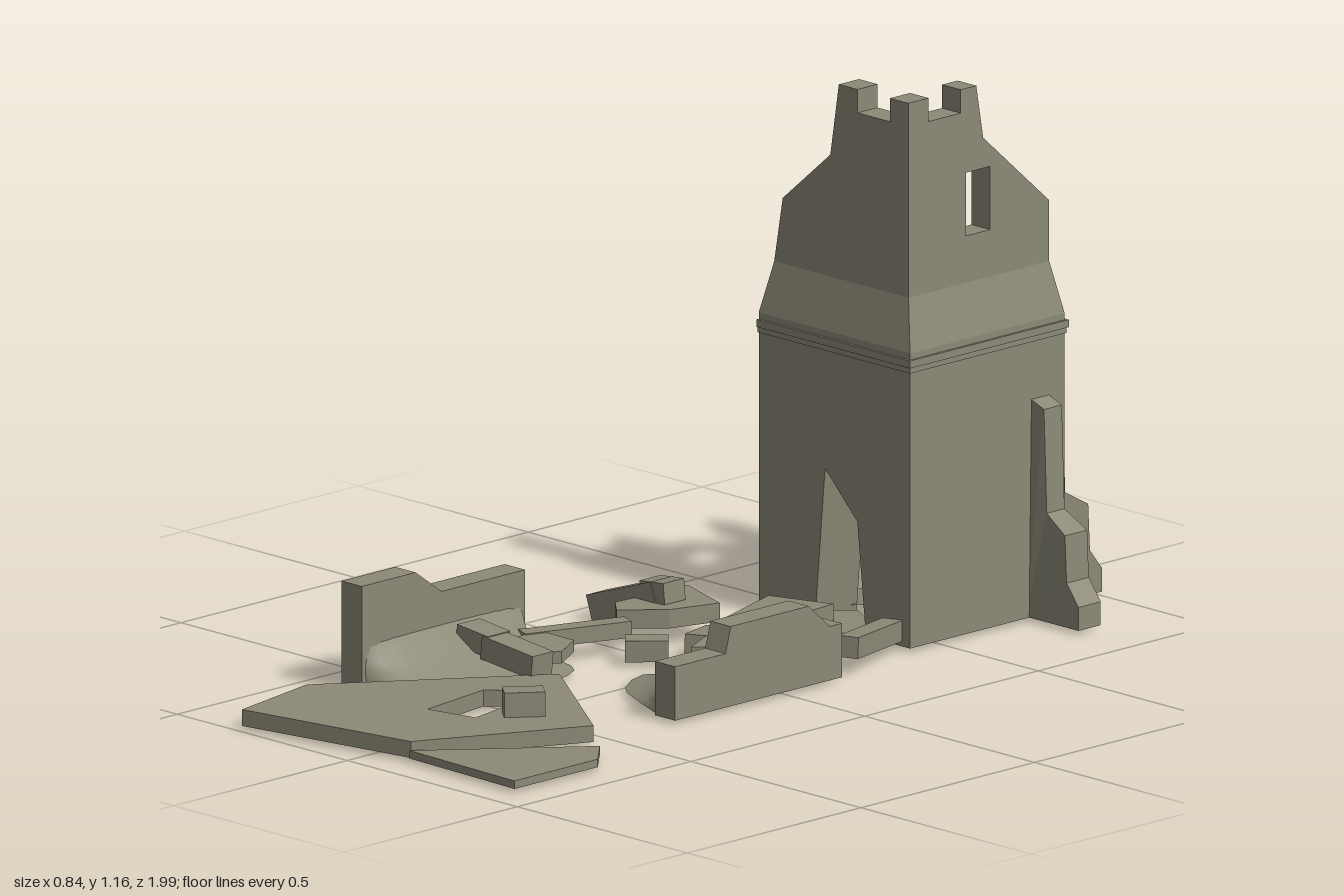
import * as THREE from 'three';

const stone = new THREE.MeshStandardMaterial({ color: 0x8c8977, side: THREE.DoubleSide });
stone.name = 'weathered stone';

export function createModel() {
  const root = new THREE.Group();
  root.name = 'ruinedTower';

  const add = (name, geo) => {
    const m = new THREE.Mesh(geo, stone);
    m.name = name;
    root.add(m);
    return m;
  };

  // Prism along an axis: 'z' takes [x,y] points, 'x' takes [z,y], 'y' takes [x,z]
  function prism(axis, pts, from, to, hole) {
    const flat = (list) => list.map(([a, b]) =>
      axis === 'x' ? new THREE.Vector2(-a, b) : new THREE.Vector2(a, axis === 'y' ? -b : b));
    const shape = new THREE.Shape(flat(pts));
    if (hole) shape.holes.push(new THREE.Path(flat(hole)));
    const g = new THREE.ExtrudeGeometry(shape, { depth: to - from, bevelEnabled: false });
    g.translate(0, 0, from);
    if (axis === 'x') g.rotateY(Math.PI / 2);
    if (axis === 'y') g.rotateX(-Math.PI / 2);
    return g;
  }

  // Move the vertices of a geometry by a rule
  function bend(g, rule) {
    const p = g.attributes.position;
    const v = new THREE.Vector3();
    for (let i = 0; i < p.count; i++) {
      rule(v.fromBufferAttribute(p, i));
      p.setXYZ(i, v.x, v.y, v.z);
    }
    g.computeVertexNormals();
    return g;
  }

  // Block between a bottom and a top rectangle [x0,x1,z0,z1], with its own top height at each x end
  function taper(b, t, y0, yLeft, yRight = yLeft) {
    return bend(new THREE.BoxGeometry(1, 1, 1).toNonIndexed(), (v) => {
      const r = v.y > 0 ? t : b;
      const y = v.y > 0 ? (v.x > 0 ? yRight : yLeft) : y0;
      v.set(v.x > 0 ? r[1] : r[0], y, v.z > 0 ? r[3] : r[2]);
    });
  }

  // Broken end of a wall runs inwards at its inner face
  const breakEnd = (g, zSplit, sign, amount) =>
    bend(g, (v) => { if (v.x < -0.15 && (v.z - zSplit) * sign < 0) v.x += amount; });

  // Lower storey: the -x wall has fallen
  add('frontWall', breakEnd(prism('z', [[-0.23, 0], [-0.065, 0], [-0.035, 0.335], [0.06, 0.24],
    [0.085, 0], [0.215, 0], [0.215, 0.63], [-0.23, 0.63]], -0.53, -0.41), -0.47, 1, 0.045));
  add('backWall', breakEnd(prism('z', [[-0.23, 0], [0.215, 0], [0.215, 0.63], [-0.23, 0.63]],
    -0.855, -0.775, [[-0.04, 0.41], [-0.04, 0.55], [0.035, 0.55], [0.035, 0.41]]), -0.815, -1, 0.04));
  add('sideWall', prism('x', [[-0.855, 0], [-0.41, 0], [-0.41, 0.63], [-0.855, 0.63]], 0.105, 0.215));

  // String course: two thin mouldings
  for (const [y, h, o] of [[0.588, 0.012, 0.003], [0.6, 0.016, 0.006]]) {
    const rim = (x0, x1, z0, z1) => add('stringCourse', taper([x0, x1, z0, z1], [x0, x1, z0, z1], y, y + h));
    rim(-0.23, 0.215 + o, -0.43, -0.41 + o);
    rim(-0.23, 0.215 + o, -0.855 - o, -0.835);
    rim(0.195, 0.215 + o, -0.855, -0.41);
  }

  // Sloping band where the walls step in
  add('frontBand', breakEnd(taper([-0.23, 0.215, -0.49, -0.41], [-0.205, 0.19, -0.49, -0.43], 0.63, 0.74), -0.46, 1, 0.03));
  add('sideBand', taper([0.135, 0.215, -0.855, -0.41], [0.135, 0.19, -0.835, -0.43], 0.63, 0.74));
  add('backBand', taper([-0.112, 0.215, -0.855, -0.8], [-0.112, 0.19, -0.835, -0.8], 0.63, 0.74));
  add('backBandEnd', breakEnd(taper([-0.23, -0.112, -0.855, -0.8], [-0.215, -0.112, -0.838, -0.8],
    0.63, 0.695, 0.74), -0.82, -1, 0.03));

  // Upper storey with crenellations and broken tops
  add('frontUpperWall', breakEnd(prism('z', [[-0.205, 0.74], [0.19, 0.74], [0.19, 1.155], [0.135, 1.155],
    [0.135, 1.105], [0.04, 1.105], [0.04, 1.155], [-0.015, 1.155], [-0.04, 1], [-0.18, 0.88]],
    -0.488, -0.43), -0.46, 1, 0.02));
  add('sideUpperWall', prism('x', [[-0.43, 0.74], [-0.43, 1.155], [-0.485, 1.155], [-0.485, 1.105],
    [-0.58, 1.105], [-0.58, 1.155], [-0.625, 1.155], [-0.645, 1.04], [-0.835, 0.87], [-0.835, 0.74]],
    0.135, 0.19, [[-0.595, 0.84], [-0.595, 0.975], [-0.665, 0.975], [-0.665, 0.84]]));
  add('backUpperWall', prism('z', [[-0.112, 0.74], [0.19, 0.74], [0.19, 0.87]], -0.835, -0.8));

  // Stepped buttresses, outward distance against height
  const step = [[-0.01, 0], [0.145, 0], [0.145, 0.05], [0.11, 0.095], [0.105, 0.195], [0.045, 0.23],
    [0.037, 0.45], [-0.01, 0.468]];
  const buttress = (name, along) => {
    const g = prism('z', step, -0.032, 0.032);
    bend(g, (v) => { if (v.y > 0.21) v.z *= 0.8; });
    return add(name, g);
  };
  buttress('sideButtress').position.set(0.215, 0, -0.785);
  for (const x of [-0.165, 0.145]) {
    const b = buttress('backButtress');
    b.rotation.y = Math.PI / 2;
    b.position.set(x, 0, -0.855);
  }

  // Smooth earth bank falling from a straight ridge to an outline of [x,z] points
  function bank(name, [ax, az], [bx, bz], height, outline) {
    const n = 12, rows = 6, pos = [], idx = [];
    const edge = new THREE.CatmullRomCurve3(outline.map(([x, z]) => new THREE.Vector3(x, 0, z)));
    for (let i = 0; i <= n; i++) {
      const e = edge.getPoint(i / n);
      const rx = ax + (bx - ax) * i / n, rz = az + (bz - az) * i / n;
      for (let j = 0; j <= rows; j++) {
        const s = j / rows;
        pos.push(rx + (e.x - rx) * s, 0.002 + height * Math.pow(1 - s, 1.4), rz + (e.z - rz) * s);
        if (i < n && j < rows) {
          const k = i * (rows + 1) + j, m = k + rows + 1;
          idx.push(k, k + 1, m, m, k + 1, m + 1);
        }
      }
    }
    // Keep the upper side as the front
    if ((bx - ax) * (outline[1][1] - az) - (bz - az) * (outline[1][0] - ax) > 0) idx.reverse();
    const g = new THREE.BufferGeometry();
    g.setAttribute('position', new THREE.Float32BufferAttribute(pos, 3));
    g.setIndex(idx);
    g.computeVertexNormals();
    add(name, g);
  }
  bank('towerFloor', [0.12, -0.8], [0.12, -0.5], 0.06, [[-0.185, -0.8], [-0.185, -0.65], [-0.185, -0.52]]);
  bank('rightBank', [0.22, -0.12], [0.22, 0.32], 0.1,
    [[0.2, -0.11], [0.05, 0.07], [-0.02, 0.12], [0.03, 0.23], [0.11, 0.275], [0.215, 0.32]]);
  bank('leftBank', [-0.34, 0.17], [-0.34, 0.62], 0.1,
    [[-0.27, 0.19], [-0.16, 0.19], [-0.115, 0.28], [-0.16, 0.45], [-0.21, 0.61], [-0.33, 0.62]]);

  // Low standing wall stumps
  add('leftStump', prism('x', [[0.63, 0], [0.63, 0.225], [0.475, 0.225], [0.4, 0.17], [0.16, 0.17], [0.16, 0]],
    -0.395, -0.335));
  add('rightStump', prism('x', [[0.325, 0], [0.325, 0.115], [0.18, 0.115], [0.165, 0.17], [-0.06, 0.17],
    [-0.12, 0.115], [-0.155, 0.115], [-0.155, 0]], 0.215, 0.275));

  // Fallen wall slabs
  add('gableSlab', prism('y', [[-0.06, 0.33], [0.275, 0.56], [0.1, 0.915], [-0.32, 0.99], [-0.365, 0.76]], 0, 0.035,
    [[-0.08, 0.53], [-0.02, 0.475], [0.03, 0.52], [0.06, 0.69], [-0.055, 0.715]]));
  add('cornerSlab', prism('y', [[0.35, 0.615], [0.42, 0.69], [0.42, 0.93], [0.1, 0.92]], 0, 0.017));
  add('doorSlab', prism('y', [[-0.09, -0.42], [-0.02, -0.49], [0.105, -0.42], [0.1, -0.355], [0.02, -0.31]], 0, 0.02));
  add('pathSlab', prism('y', [[-0.14, -0.35], [0, -0.4], [0.015, -0.19], [-0.02, -0.13], [-0.075, -0.15]], 0.015, 0.055));
  add('leftSlab', prism('y', [[-0.275, -0.25], [-0.13, -0.2], [-0.165, -0.09], [-0.24, -0.01], [-0.285, -0.05]], 0.03, 0.07));
  add('rightSlab', prism('y', [[0.1, -0.21], [0.21, -0.1], [0.045, 0.055], [-0.005, -0.05], [0.05, -0.11]], 0.02, 0.06));
  add('bankSlab', prism('y', [[-0.27, 0.19], [-0.16, 0.19], [-0.115, 0.27], [-0.15, 0.32], [-0.25, 0.31]], 0.035, 0.06));

  // Loose blocks: name, size, centre, turn about y, tilt about z
  for (const [name, s, c, turn, tilt] of [
    ['slabBlock', [0.085, 0.055, 0.05], [0.11, 0.06, 0.6], 0.9, 0],
    ['rightBeam', [0.22, 0.045, 0.045], [0.21, 0.042, -0.3], -1.2, 0.08],
    ['leftBeam', [0.24, 0.035, 0.04], [-0.235, 0.045, 0.115], 1.22, 0],
    ['smallBlock', [0.09, 0.045, 0.05], [-0.1, 0.025, 0.04], 0.8, 0],
    ['thinBlock', [0.12, 0.04, 0.045], [-0.05, 0.03, -0.08], -1.15, 0.1],
    ['fallenButtressFoot', [0.2, 0.06, 0.065], [-0.32, 0.052, -0.135], 0, 0.33],
    ['fallenButtressTop', [0.07, 0.045, 0.06], [-0.232, 0.09, -0.135], 0, 0.1],
    ['bankButtressFoot', [0.15, 0.05, 0.06], [-0.16, 0.06, 0.355], 0, -0.1],
    ['bankButtressTop', [0.09, 0.045, 0.065], [-0.265, 0.075, 0.35], 0, -0.1],
  ]) {
    const b = add(name, new THREE.BoxGeometry(...s));
    b.position.set(...c);
    b.rotation.set(0, turn, tilt);
  }
  return root;
}
